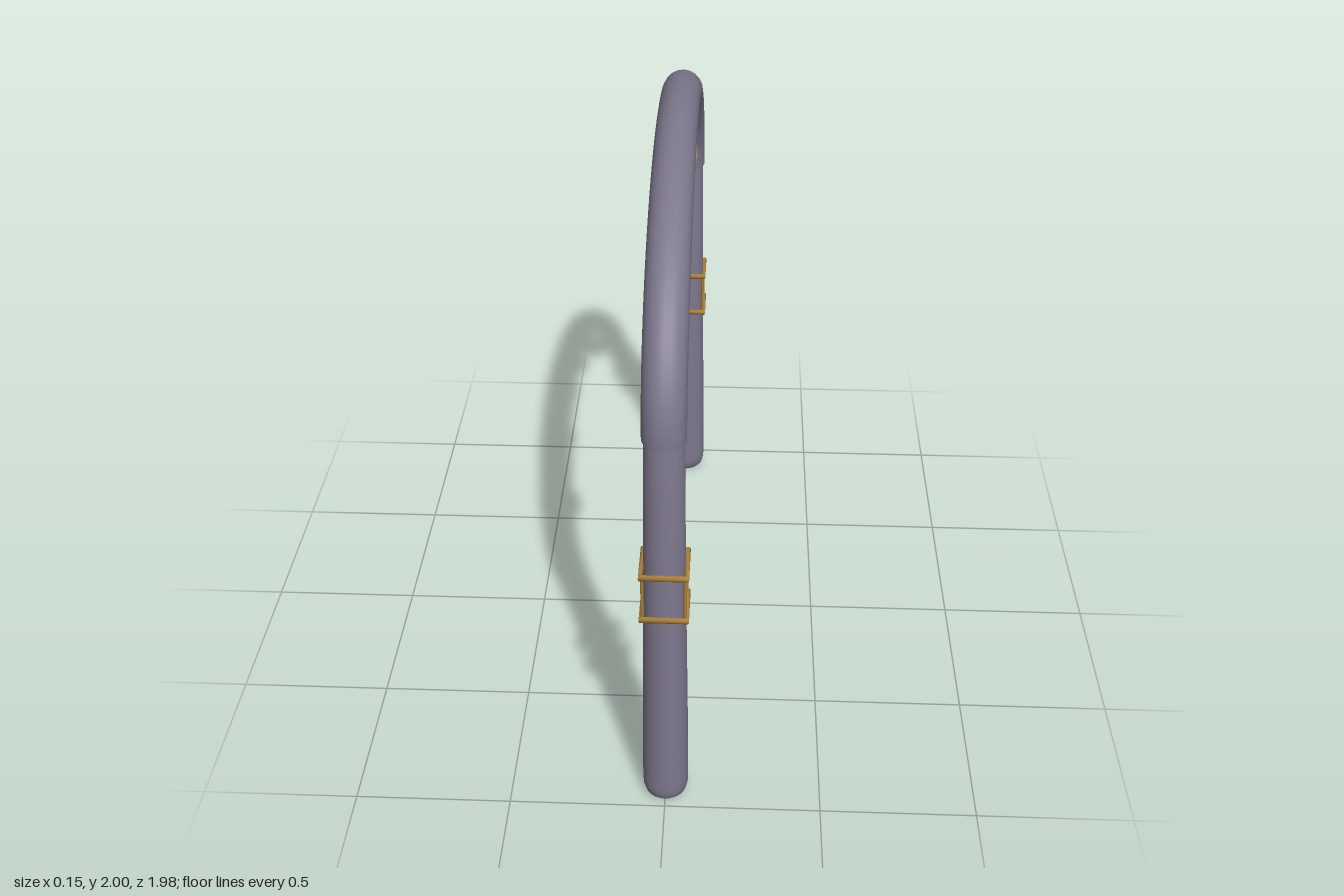
import * as THREE from 'three';

const POST_Z = 0.915, SPRING_Y = 1.38;

function mat(color, side = THREE.FrontSide) {
  const m = new THREE.MeshStandardMaterial({ color });
  m.side = side;
  return m;
}

function add(parent, name, geometry, material, x = 0, y = 0, z = 0) {
  const mesh = new THREE.Mesh(geometry, material);
  mesh.name = name;
  mesh.position.set(x, y, z);
  parent.add(mesh);
  return mesh;
}

// Half-ellipse between the two post tops
class ArchCurve extends THREE.Curve {
  getPoint(t, target = new THREE.Vector3()) {
    const a = Math.PI * t;
    return target.set(0, SPRING_Y + 0.556 * Math.sin(a), POST_Z * Math.cos(a));
  }
}

export function createModel() {
  const group = new THREE.Group();
  group.name = 'archway';
  const stone = mat(0x7d778c);
  const stoneOpen = mat(0x7d778c, THREE.DoubleSide);
  const brass = mat(0xa9803a);
  const gold = mat(0xdfb055);

  // Tapered post with a rounded foot
  const profile = [
    [0, 0], [0.056, 0.003], [0.066, 0.014], [0.072, 0.036],
    [0.073, 0.06], [0.0725, 0.2], [0.066, 0.7], [0.059, SPRING_Y], [0, SPRING_Y],
  ].map(([r, y]) => new THREE.Vector2(r, y));
  const postGeo = new THREE.LatheGeometry(profile, 24);

  // Square collar: four-sided ring with mitred corners
  const ringGeo = new THREE.TorusGeometry(0.096, 0.0105, 10, 4);
  ringGeo.rotateZ(Math.PI / 4).rotateX(Math.PI / 2);
  const barGeo = new THREE.CylinderGeometry(0.005, 0.005, 0.16, 8);

  for (const side of [1, -1]) {
    const z = side * POST_Z;
    const label = side > 0 ? 'front' : 'back';
    add(group, label + 'Post', postGeo, stone, 0, 0, z);

    const collar = new THREE.Group();
    collar.name = label + 'Collar';
    collar.position.set(0, 0.85, z);
    group.add(collar);
    add(collar, 'upperRing', ringGeo, brass, 0, 0.08, 0);
    add(collar, 'lowerRing', ringGeo, brass, 0, -0.08, 0);
    for (const sx of [1, -1])
      for (const sz of [1, -1])
        add(collar, 'cornerBar', barGeo, brass, sx * 0.064, 0, sz * 0.064);
  }

  // Arch tube, open at the ends where it caps the posts
  add(group, 'arch', new THREE.TubeGeometry(new ArchCurve(), 64, 0.065, 20, false), stoneOpen);

  // Egg-shaped ornaments following a parabola under the arch
  const eggGeo = new THREE.SphereGeometry(1, 24, 16).scale(0.047, 0.09, 0.065);
  for (let i = -2; i <= 2; i++)
    add(group, 'ornament', eggGeo, gold, 0, 1.85 - 0.0725 * i * i, i * 0.306);

  return group;
}
